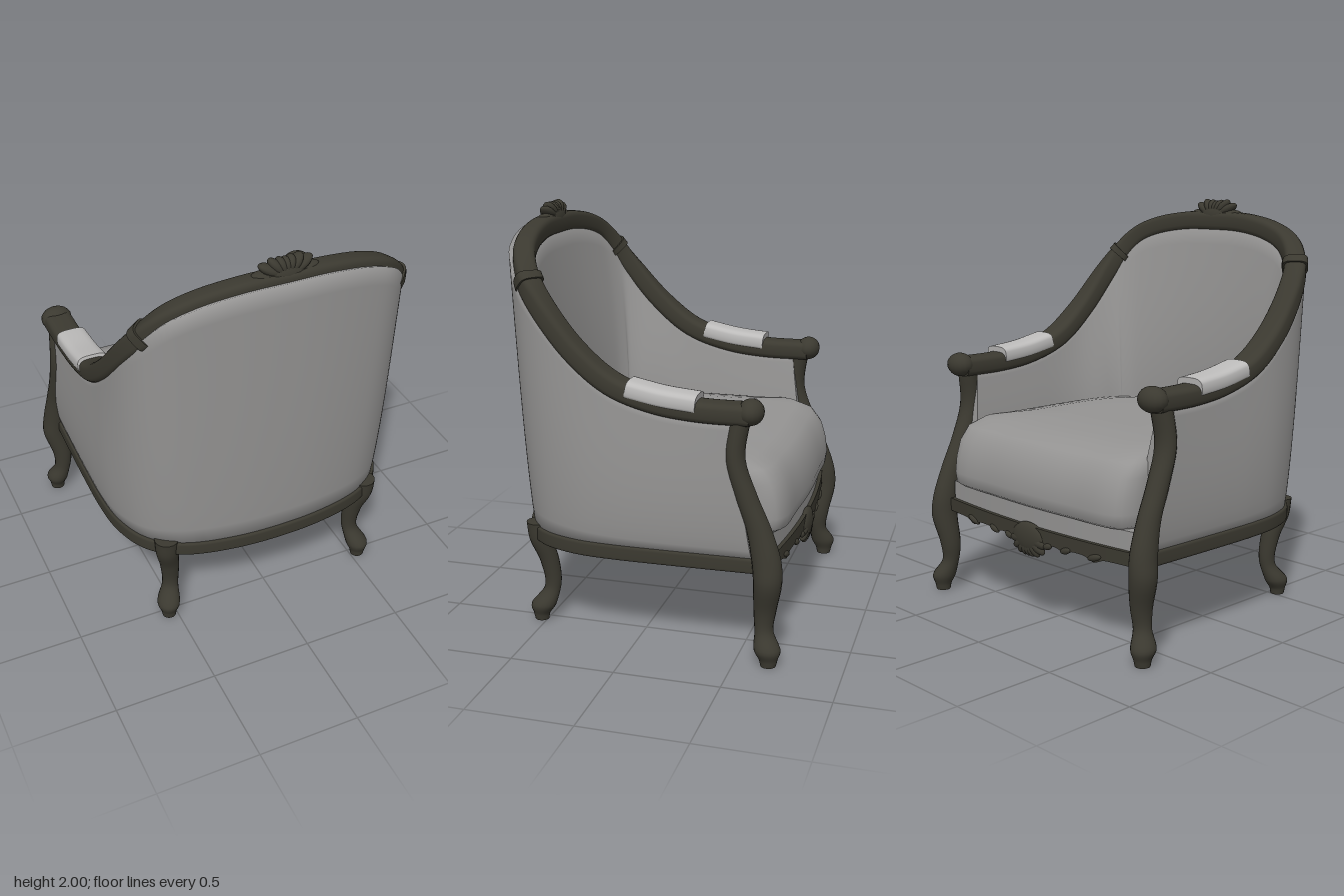
import * as THREE from 'three';

const V = (x, y, z) => new THREE.Vector3(x, y, z);
const UP = V(0, 1, 0);
const { smoothstep } = THREE.MathUtils;
const mat = (name, color) => Object.assign(new THREE.MeshStandardMaterial({ color }), { name });

// Skin a list of equal closed rings, each counter-clockwise about the loft direction
function loft(rings, capStart = true) {
  const n = rings[0].length, last = rings[rings.length - 1];
  const centre = r => {
    const c = r.reduce((s, p) => s.add(p), V(0, 0, 0)).divideScalar(n);
    return r.map(() => c);
  };
  // end rings are doubled so the cap edges stay crisp
  const all = [...(capStart ? [centre(rings[0]), rings[0]] : []), ...rings, last, centre(last)];
  const pos = [], idx = [];
  all.forEach(r => r.forEach(p => pos.push(p.x, p.y, p.z)));
  for (let i = 0; i < all.length - 1; i++) {
    if ((capStart && i === 1) || i === all.length - 3) continue;
    for (let j = 0; j < n; j++) {
      const k = (j + 1) % n, a = i * n + j, b = i * n + k;
      idx.push(a, b, b + n, a, b + n, a + n);
    }
  }
  const g = new THREE.BufferGeometry();
  g.setAttribute('position', new THREE.Float32BufferAttribute(pos, 3));
  g.setIndex(idx);
  g.computeVertexNormals();
  return g;
}

const outward = t => V(0, 0, 0).crossVectors(UP, t).normalize();
const bend = x => 0.045 * (x / 0.65) ** 2; // bow of the seat front

// Sweep a softened rectangle along a curve, from t0 to t1
function sweep(curve, size, steps, t0 = 0, t1 = 1, power = 0.6) {
  const rings = [];
  for (let i = 0; i <= steps; i++) {
    const u = t0 + (t1 - t0) * i / steps;
    const p = curve.getPoint(u), t = curve.getTangent(u);
    const n = outward(t), b = V(0, 0, 0).crossVectors(t, n);
    const [w, h] = size(p);
    rings.push(Array.from({ length: 24 }, (_, j) => {
      const a = j / 24 * Math.PI * 2, c = Math.cos(a), s = Math.sin(a);
      return p.clone()
        .addScaledVector(n, w * Math.sign(c) * Math.abs(c) ** power)
        .addScaledVector(b, h * Math.sign(s) * Math.abs(s) ** power);
    }));
  }
  return loft(rings);
}

// Carved leg: rows of [y, x, z, radiusX, radiusZ] from the top down
function leg(rows, side) {
  const centre = new THREE.CatmullRomCurve3(rows.map(r => V(r[1] * side, r[0], r[2])));
  const radius = new THREE.CatmullRomCurve3(rows.map(r => V(r[3], 0, r[4])));
  const rings = [];
  for (let i = 0; i <= 48; i++) {
    const c = centre.getPoint(i / 48), r = radius.getPoint(i / 48);
    rings.push(Array.from({ length: 18 }, (_, j) => {
      const a = j / 18 * Math.PI * 2;
      return V(c.x + r.x * Math.cos(a), c.y, c.z + r.z * Math.sin(a));
    }));
  }
  return loft(rings);
}

const mirrored = half => new THREE.CatmullRomCurve3(
  [...half, ...half.slice(0, -1).reverse().map(p => V(-p.x, p.y, p.z))]);

export function createModel() {
  const wood = mat('dark wood', 0x3b3930);
  const fabric = mat('grey upholstery', 0x959493);
  fabric.side = THREE.DoubleSide;
  const padFabric = mat('pale pad fabric', 0xbcbbba);
  const chair = new THREE.Group();
  chair.name = 'armchair';
  const add = (name, geo, m, parent = chair) => {
    const mesh = new THREE.Mesh(geo, m);
    mesh.name = name;
    parent.add(mesh);
    return mesh;
  };

  // Top rail: arm, sweeping back, other arm. Seat plan matches it point for point.
  const rail = mirrored([
    V(0.685, 1.17, -0.55), V(0.685, 1.172, -0.3), V(0.685, 1.197, -0.1), V(0.685, 1.265, 0.1),
    V(0.68, 1.405, 0.28), V(0.655, 1.59, 0.44), V(0.613, 1.7, 0.52), V(0.525, 1.795, 0.575),
    V(0.4, 1.85, 0.605), V(0.2, 1.885, 0.63), V(0, 1.89, 0.637)]);
  const plan = mirrored([
    [0.69, -0.68], [0.7, -0.33], [0.705, -0.1], [0.705, 0.1], [0.69, 0.27], [0.64, 0.42],
    [0.58, 0.5], [0.49, 0.562], [0.39, 0.6], [0.2, 0.635], [0, 0.645]].map(([x, z]) => V(x, 0.465, z)));
  const rise = p => smoothstep(p.y, 1.2, 1.8);
  const railSize = grow => p => [0.07 - 0.018 * rise(p) + grow, 0.05 + grow];
  add('topRail', sweep(rail, railSize(0), 120), wood);
  add('seatFrame', sweep(plan, () => [0.027, 0.036], 90, 0.008, 0.992, 0.35), wood);

  // Upholstered shell: outer wall up, over the top, inner wall down
  const rings = [];
  for (let i = 0; i <= 100; i++) {
    const u = 0.016 + 0.968 * i / 100;
    const p = rail.getPoint(u), n = outward(rail.getTangent(u)), q = plan.getPoint(u);
    const k = rise(p), crest = smoothstep(p.y, 1.64, 1.82);
    const wall = (top, bottom, bulge, reverse) => Array.from({ length: 15 }, (_, j) => {
      const v = reverse ? 1 - j / 14 : j / 14;
      return bottom.clone().lerp(top, v).addScaledVector(n, bulge * Math.sin(Math.PI * v ** 0.7));
    });
    const outTop = p.clone().addScaledVector(n, 0.046 + 0.026 * crest).add(V(0, 0.043 * crest - 0.025, 0));
    const inTop = p.clone().addScaledVector(n, -0.036).add(V(0, -0.02, 0));
    const outBase = V(q.x, 0.49, q.z).addScaledVector(n, 0.012);
    const inBase = outBase.clone().addScaledVector(n, -0.055);
    rings.push([...wall(outTop, outBase, 0.022 - 0.012 * k, false),
      ...wall(inTop, inBase, -0.05 - 0.05 * smoothstep(p.y, 1.2, 1.5), true)]);
  }
  add('upholsteredShell', loft(rings), fabric);

  // Seat cushion, open below: rings of [front scale, side and back scale, y]
  const half = [[0, 0.53], [0.3, 0.52], [0.5, 0.44], [0.585, 0.25], [0.605, 0], [0.61, -0.4],
    [0.63, -0.58], [0.58, -0.675], [0.3, -0.7], [0, -0.71]].map(([x, z]) => V(x, 0, z));
  const outline = new THREE.CatmullRomCurve3(
    [...half, ...half.slice(1, -1).reverse().map(p => V(-p.x, 0, p.z))], true).getPoints(72).slice(0, 72);
  const layers = [[0.96, 0.97, 0.59], [0.99, 0.995, 0.605], [1, 1, 0.66], [0.985, 1, 0.74],
    [0.95, 0.995, 0.82], [0.88, 0.98, 0.885], [0.76, 0.93, 0.92], [0.55, 0.75, 0.935], [0.3, 0.4, 0.94]];
  // only the front is full height; sides and back tuck into the lining
  const skirt = (y, z) => 0.94 - (0.94 - y) * (1 - 0.75 * smoothstep(z, -0.55, -0.35) * (y < 0.88 ? 1 : 0));
  add('seatCushion', loft(layers.map(([f, s, y]) => outline.map(p =>
    V(p.x * s, skirt(y, p.z), p.z * (p.z < 0 ? f : s)))), false), fabric);

  // Bowed strips along the front: upholstered lip and carved apron
  const strip = (width, depth, zFront, top, bottom) => {
    const g = new THREE.BoxGeometry(width, 1, depth, 80, 1, 1);
    const a = g.attributes.position;
    for (let i = 0; i < a.count; i++) {
      const x = a.getX(i);
      a.setY(i, a.getY(i) > 0 ? top : bottom(x));
      a.setZ(i, a.getZ(i) + depth / 2 + zFront + bend(x));
    }
    g.computeVertexNormals();
    return g;
  };
  const bump = (x, c, w) => Math.exp(-(((Math.abs(x) - c) / w) ** 2));
  add('seatLip', strip(1.3, 0.1, -0.675, 0.59, () => 0.48), fabric);
  add('frontApron', strip(1.34, 0.05, -0.695, 0.5, x =>
    0.435 - 0.05 * bump(x, 0, 0.09) - 0.015 * bump(x, 0.25, 0.035) - 0.022 * bump(x, 0.44, 0.04)), wood);

  // Carved fans of leaves around a solid boss: on the crest and under the apron
  const ball = new THREE.SphereGeometry(1, 16, 12);
  const fan = (name, centre, tall, wide, depth, dir) => {
    const g = new THREE.Group();
    g.name = name;
    g.position.copy(centre);
    for (let i = 0; i < 9; i++) {
      const a = (i / 8 - 0.5) * 2.8;
      const len = tall + (wide - tall) * Math.sin(a) ** 2;
      const leaf = add('leaf', ball, wood, g);
      leaf.scale.set(0.026, len / 2, depth * 0.8);
      leaf.position.set(Math.sin(a) * len / 2, dir * Math.cos(a) * len / 2, 0);
      leaf.rotation.z = -a * dir;
    }
    add('boss', ball, wood, g).scale.set(wide * 0.85, tall * 0.85, depth);
    chair.add(g);
  };
  fan('crestCarving', V(0, 1.908, 0.635), 0.09, 0.165, 0.048, 1);
  fan('apronCarving', V(0, 0.44, -0.685), 0.09, 0.135, 0.03, -1);

  const frontRows = [[1.15, 0.69, -0.5, 0.055, 0.048], [0.97, 0.703, -0.483, 0.055, 0.045],
    [0.8, 0.707, -0.535, 0.052, 0.052], [0.65, 0.712, -0.597, 0.052, 0.058], [0.5, 0.72, -0.637, 0.06, 0.068],
    [0.4, 0.725, -0.645, 0.064, 0.066], [0.25, 0.7, -0.63, 0.05, 0.052], [0.16, 0.705, -0.628, 0.043, 0.043],
    [0.08, 0.733, -0.65, 0.057, 0.062], [0.03, 0.735, -0.657, 0.04, 0.043], [0, 0.735, -0.657, 0.036, 0.036]];
  const backRows = [[0.51, 0.542, 0.533, 0.06, 0.06], [0.42, 0.538, 0.525, 0.056, 0.056],
    [0.3, 0.515, 0.492, 0.048, 0.046], [0.17, 0.51, 0.48, 0.04, 0.04], [0.08, 0.537, 0.52, 0.056, 0.062],
    [0.03, 0.54, 0.53, 0.04, 0.04], [0, 0.54, 0.53, 0.034, 0.034]];
  for (const side of [1, -1]) {
    const s = side > 0 ? 'left' : 'right';
    add(s + 'FrontLegAndPost', leg(frontRows, side), wood);
    add(s + 'BackLeg', leg(backRows, side), wood);

    // Scrolled arm end
    const scroll = add(s + 'ArmScroll', ball, wood);
    scroll.scale.set(0.078, 0.06, 0.06);
    scroll.position.set(side * 0.687, 1.18, -0.548);

    // Collar where the arm meets the crest
    const t = side > 0 ? 0.3 : 0.7;
    add(s + 'RailCollar', sweep(rail, railSize(0.01), 4, t - 0.007, t + 0.007), wood);

    // Arm pad
    const pad = new THREE.CatmullRomCurve3([V(side * 0.685, 1.205, -0.31),
      V(side * 0.685, 1.222, -0.14), V(side * 0.685, 1.252, 0.015)]);
    add(s + 'ArmPad', sweep(pad, () => [0.076, 0.045], 16), padFabric);

    // Small scrolls on the apron
    for (const [x, y, w] of [[0.14, 0.425, 0.03], [0.26, 0.43, 0.035], [0.44, 0.435, 0.045]]) {
      const knot = add(s + 'ApronScroll', ball, wood);
      knot.scale.set(w, 0.016, 0.014);
      knot.position.set(side * x, y, -0.692 + bend(x));
      knot.rotation.z = side * 0.3;
    }
  }
  return chair;
}
